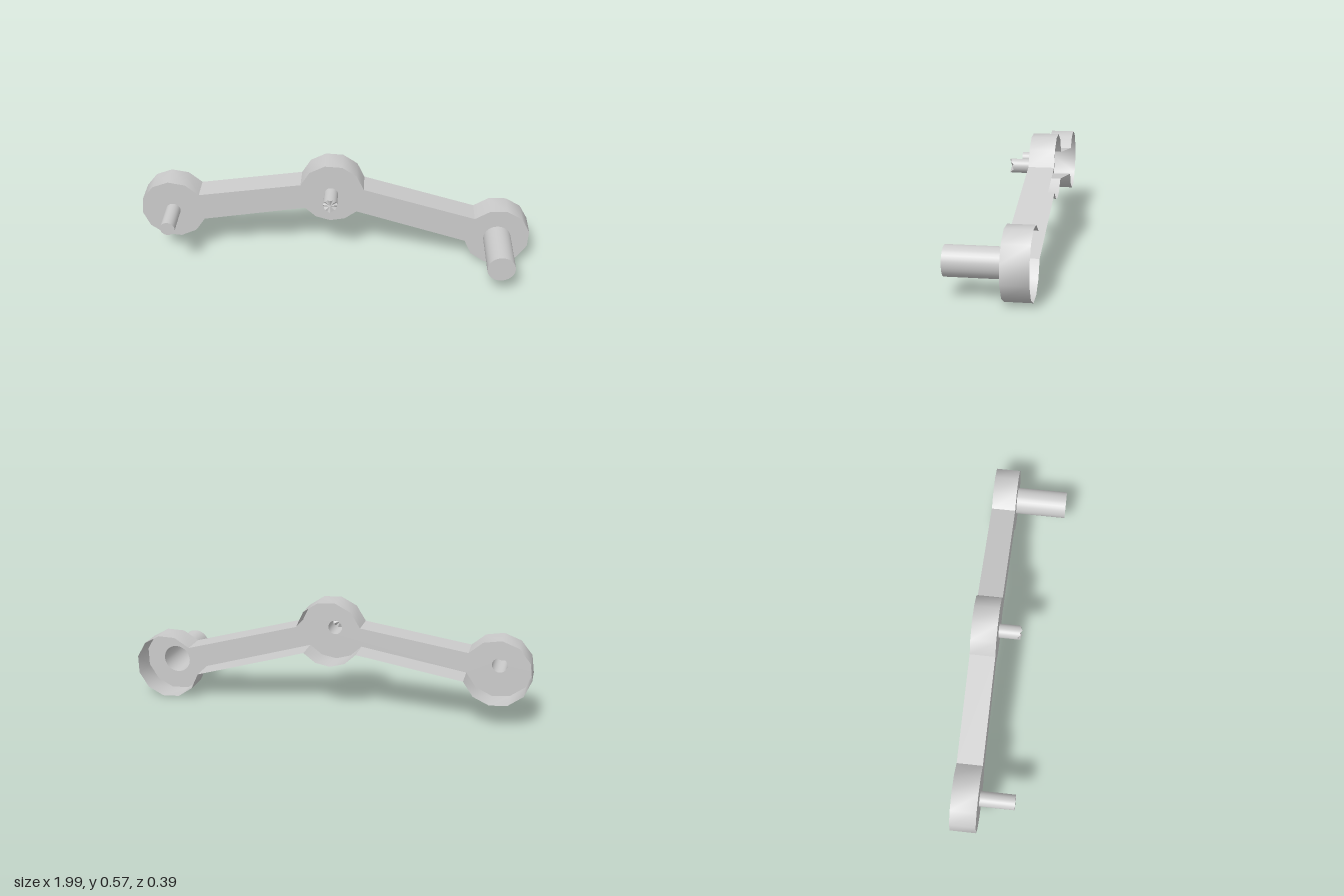
import * as THREE from 'three';
import { toCreasedNormals } from 'three/addons/utils/BufferGeometryUtils.js';

const Z_FRONT = -0.07, Z_BACK = -0.195;
const mat = new THREE.MeshStandardMaterial({ color: 0xcccccc, side: THREE.DoubleSide });
const flatMat = new THREE.MeshStandardMaterial({ color: 0xcccccc, side: THREE.DoubleSide, flatShading: true });

function mesh(geometry, name, material = mat) {
  const m = new THREE.Mesh(geometry, material);
  m.name = name;
  return m;
}

// Points of a hub's arc, angles in degrees
function arc(cx, cy, r, from, to, n) {
  return Array.from({ length: n + 1 }, (_, i) => {
    const a = THREE.MathUtils.degToRad(from + (to - from) * i / n);
    return new THREE.Vector2(cx + r * Math.cos(a), cy + r * Math.sin(a));
  });
}

// Thin wall following the closed outline
function wallGeometry(outline) {
  const pos = [];
  outline.forEach((a, i) => {
    const b = outline[(i + 1) % outline.length];
    pos.push(a.x, a.y, Z_FRONT, a.x, a.y, Z_BACK, b.x, b.y, Z_BACK);
    pos.push(a.x, a.y, Z_FRONT, b.x, b.y, Z_BACK, b.x, b.y, Z_FRONT);
  });
  const g = new THREE.BufferGeometry();
  g.setAttribute('position', new THREE.Float32BufferAttribute(pos, 3));
  return toCreasedNormals(g, 0.7);
}

// Hollow peg, open at the back; zEnd(angle) shapes the rim
function peg({ x, y, r, name, zEnd, zCentre }) {
  const group = new THREE.Group();
  group.name = name;
  const side = new THREE.CylinderGeometry(r, r, 1, 32, 1, true).rotateX(Math.PI / 2);
  const cap = new THREE.CircleGeometry(r, 32);
  for (const g of [side, cap]) {
    const p = g.attributes.position;
    for (let i = 0; i < p.count; i++) {
      const px = p.getX(i), py = p.getY(i);
      if (g === side && p.getZ(i) < 0) p.setZ(i, Z_FRONT);
      else p.setZ(i, Math.hypot(px, py) < r / 2 ? zCentre : zEnd(Math.atan2(py, px)));
    }
  }
  group.add(mesh(side, name + 'Side'), mesh(cap, name + 'Tip', flatMat));
  group.position.set(x, y, 0);
  return group;
}

export function createModel() {
  const model = new THREE.Group();
  model.name = 'linkArm';

  // Three faceted hubs joined by two straight arms
  const outline = [
    ...arc(0.833, 0.168, 0.166, -170.5, 137.5, 10),
    ...arc(-0.02, 0.413, 0.164, 9.6, 163.6, 5),
    ...arc(-0.835, 0.29, 0.165, 34, 341, 10),
    ...arc(-0.02, 0.413, 0.164, 213.6, 320.3, 4),
  ];

  const pegs = [
    { name: 'smallPeg', x: -0.837, y: 0.288, r: 0.037, zCentre: 0.1, zEnd: () => 0.1 },
    // Middle peg has a notched, wavy tip
    { name: 'notchedPeg', x: -0.023, y: 0.411, r: 0.035, zCentre: 0.037,
      zEnd: a => 0.034 - 0.008 * Math.cos(2 * a) + 0.004 * Math.cos(8 * a) },
    { name: 'largePeg', x: 0.833, y: 0.167, r: 0.07, zCentre: 0.195, zEnd: () => 0.195 },
  ];

  // Front plate, pierced where the hollow pegs begin
  const shape = new THREE.Shape(outline);
  for (const p of pegs) shape.holes.push(new THREE.Path(arc(p.x, p.y, p.r, 360, 0, 32).slice(0, -1)));
  model.add(mesh(new THREE.ShapeGeometry(shape).translate(0, 0, Z_FRONT), 'frontPlate'));
  model.add(mesh(wallGeometry(outline), 'sideWall'));
  for (const p of pegs) model.add(peg(p));
  return model;
}
